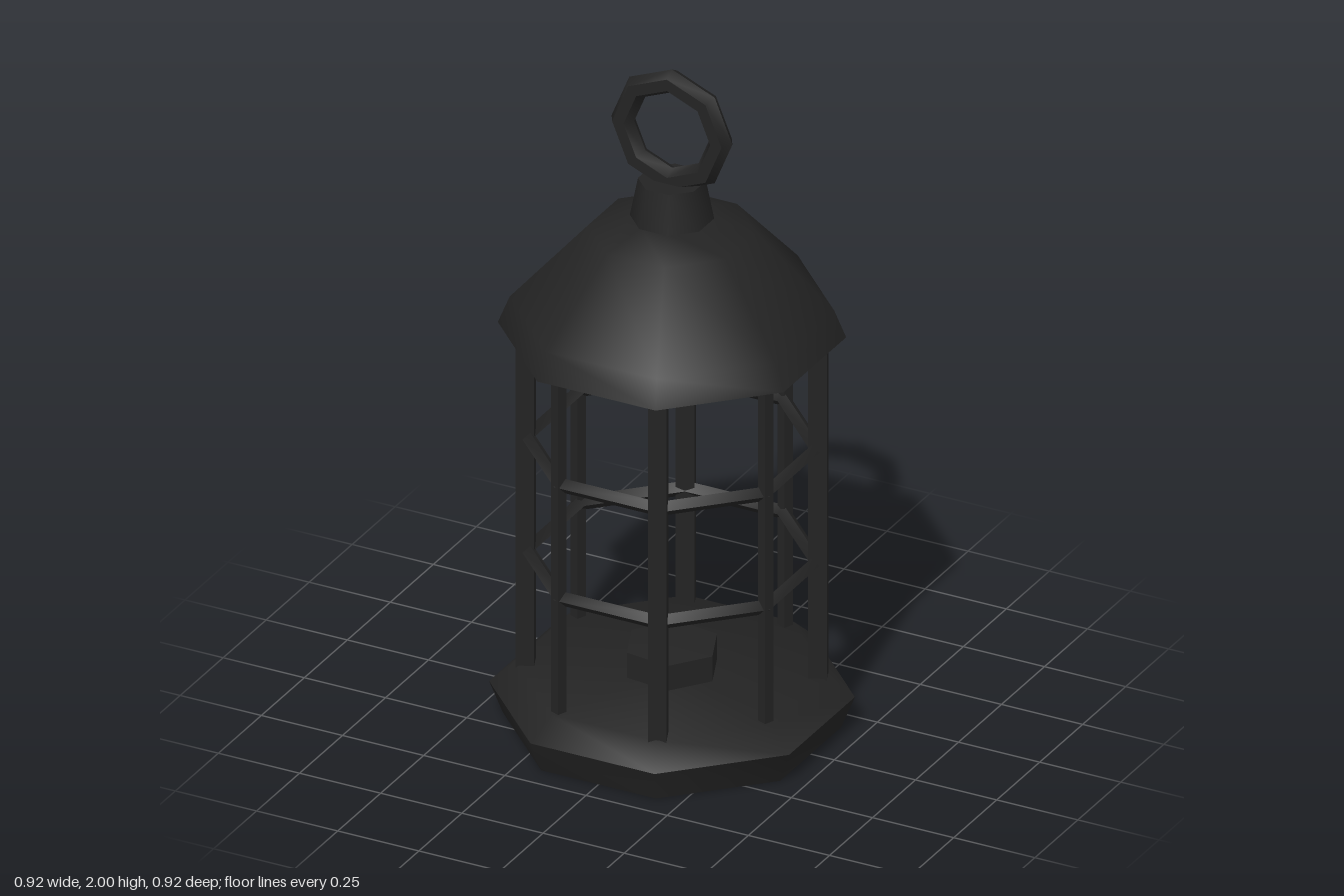
import * as THREE from 'three';
import { toCreasedNormals } from 'three/addons/utils/BufferGeometryUtils.js';

const SIDES = 8;
const HALF = Math.PI / SIDES;

export function createModel() {
  const lantern = new THREE.Group();
  lantern.name = 'lantern';

  const iron = new THREE.MeshStandardMaterial({ color: 0x232323, side: THREE.DoubleSide });
  iron.name = 'black iron';

  const add = (name, geometry, x = 0, y = 0, z = 0) => {
    const mesh = new THREE.Mesh(geometry, iron);
    mesh.name = name;
    mesh.position.set(x, y, z);
    lantern.add(mesh);
    return mesh;
  };

  // Octagonal turning with flats facing the axes; profile is [half width, y]
  const octagon = (profile) => toCreasedNormals(new THREE.LatheGeometry(
    profile.map(([w, y]) => new THREE.Vector2(w / Math.cos(HALF), y)), SIDES, HALF), 0.8);

  // Bevelled base
  add('base', octagon([[0, 0], [0.427, 0], [0.462, 0.095], [0.395, 0.16], [0, 0.16]]));

  // Low candle holder with a slightly domed top
  const holder = new THREE.LatheGeometry(
    [[0.135, 0.155], [0.135, 0.236], [0, 0.25]].map(([r, y]) => new THREE.Vector2(r, y)), 6, HALF);
  add('candleHolder', toCreasedNormals(holder, 0.5));

  // Posts at the eight corners, alternately thick and thin
  for (let i = 0; i < SIDES; i++) {
    const angle = HALF + i * 2 * HALF;
    const thick = i % 2 === 0;
    const size = thick ? 0.051 : 0.03;
    const post = add(thick ? 'thickPost' : 'thinPost', new THREE.BoxGeometry(size, 1.07, size),
      0.4 * Math.sin(angle), 0.685, 0.4 * Math.cos(angle));
    post.rotation.y = angle;
  }

  // Two octagonal rails tying the posts together
  for (const y of [0.507, 0.855]) {
    const rail = new THREE.TorusGeometry(0.395, 0.022, 4, SIDES).rotateX(Math.PI / 2).rotateY(HALF);
    add('rail', toCreasedNormals(rail, 0.8), 0, y, 0);
  }

  // Hollow roof and the neck on top of it
  add('roof', octagon([[0.44, 1.2], [0.41, 1.28], [0.212, 1.51], [0.1, 1.55], [0, 1.55]]));
  add('neck', octagon([[0.108, 1.54], [0.086, 1.662], [0, 1.662]]));

  // Carrying ring
  add('carryRing', toCreasedNormals(new THREE.TorusGeometry(0.151, 0.035, 6, SIDES), 0.8), 0, 1.814, 0);

  return lantern;
}
